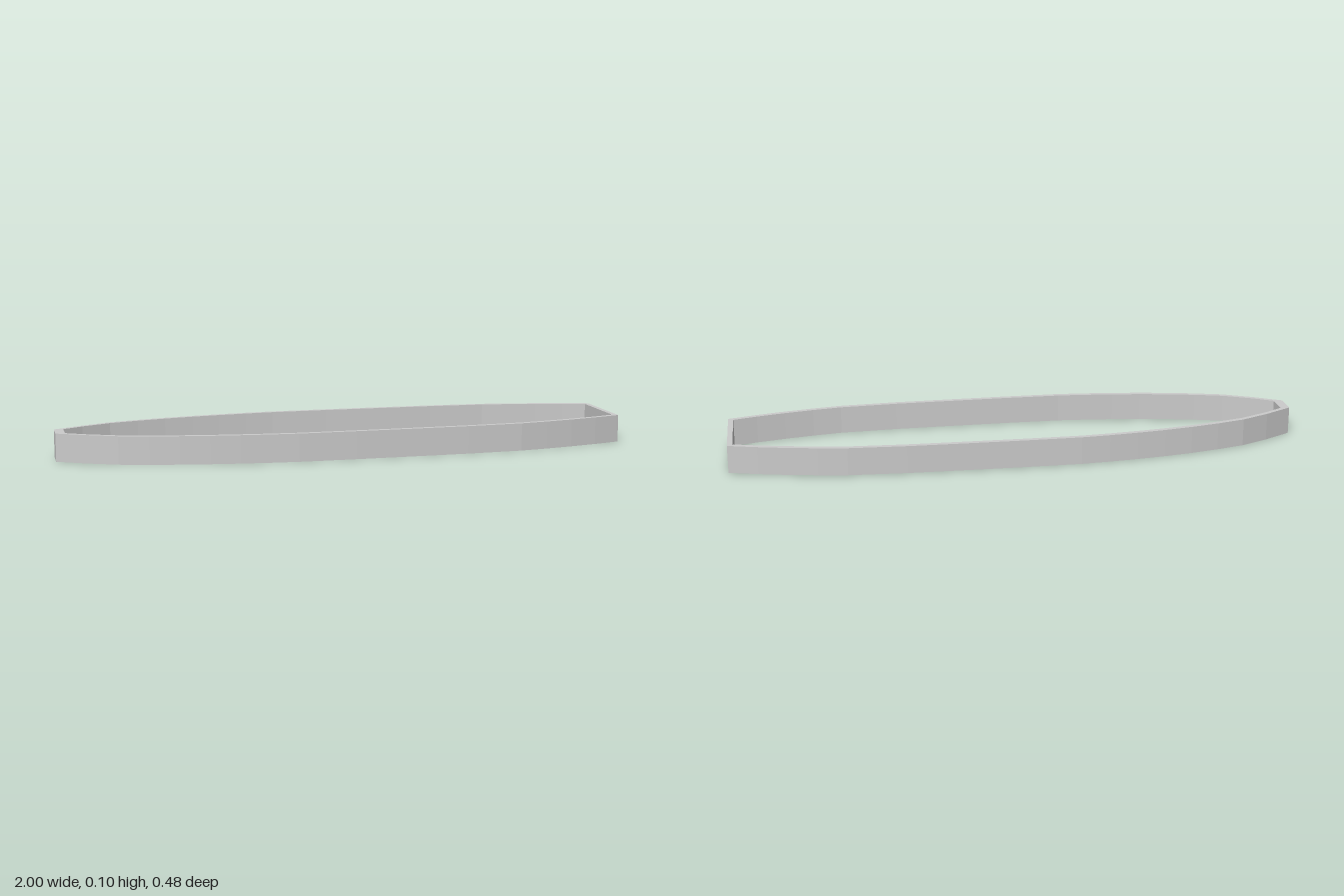
import * as THREE from 'three';

// Closed counter-clockwise outline from half-widths [x, z], mirrored across the centre line
function outline(half) {
  const near = half.map(([x, z]) => [x, -z]);
  const far = [...half].reverse();
  return [...near, ...far].map(([x, z]) => new THREE.Vector2(x, z));
}

export function createModel() {
  const height = 0.097;
  const wall = 0.018;

  // Hull half-widths from the narrow bow to the flat stern
  const side = [
    [-0.9, 0.097], [-0.8, 0.143], [-0.7, 0.17], [-0.6, 0.192], [-0.5, 0.209],
    [-0.4, 0.222], [-0.3, 0.232], [-0.2, 0.239], [0, 0.24], [0.2, 0.238],
    [0.4, 0.235], [0.6, 0.225], [0.7, 0.21], [0.8, 0.191], [0.9, 0.168],
  ];
  const outer = [[-1, 0.041], ...side, [0.99, 0.143], [1, 0.14]];
  const inner = [[-0.968, 0.04], ...side.map(([x, z]) => [x, z - wall]), [0.982, 0.127]];

  // Thin upright band following the hull outline
  const shape = new THREE.Shape(outline(outer));
  shape.holes.push(new THREE.Path(outline(inner)));
  const geometry = new THREE.ExtrudeGeometry(shape, { depth: height, bevelEnabled: false });
  geometry.rotateX(-Math.PI / 2);

  const band = new THREE.Mesh(
    geometry,
    new THREE.MeshStandardMaterial({ color: 0xcccccc, flatShading: true }),
  );
  band.name = 'hullBand';

  const group = new THREE.Group();
  group.name = 'hullRing';
  group.add(band);
  return group;
}
